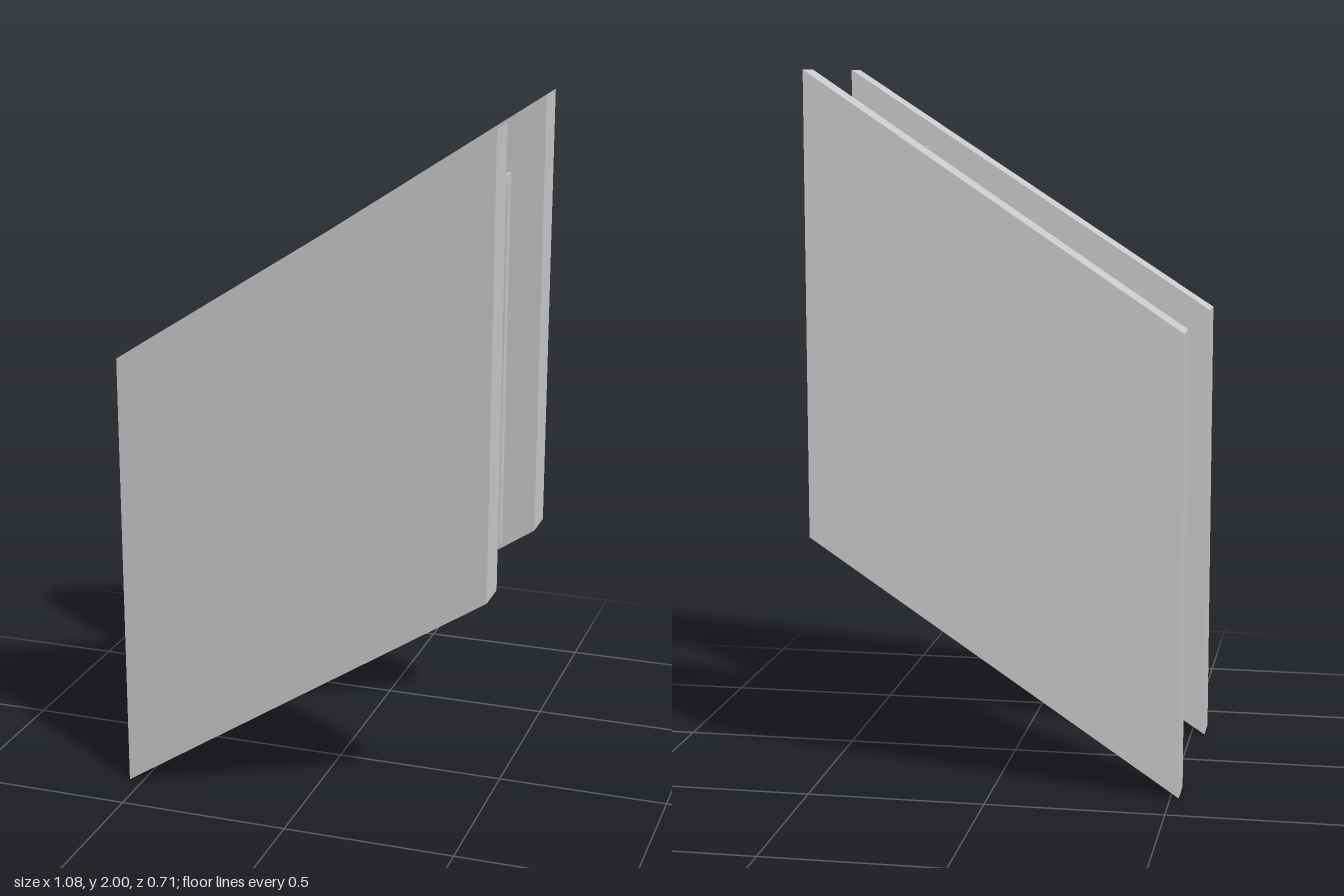
import * as THREE from 'three';

const material = new THREE.MeshStandardMaterial({ color: 0xcccccc, flatShading: true });

function addBox(parent, name, x0, x1, y0, y1, z0, z1) {
  const mesh = new THREE.Mesh(new THREE.BoxGeometry(x1 - x0, y1 - y0, z1 - z0), material);
  mesh.position.set((x0 + x1) / 2, (y0 + y1) / 2, (z0 + z1) / 2);
  mesh.name = name;
  parent.add(mesh);
}

// Slab with upright ends and parallel sloping top and bottom
function addWall(parent, name, halfWidth, z0, z1) {
  const shape = new THREE.Shape([
    new THREE.Vector2(-halfWidth, 0),
    new THREE.Vector2(halfWidth, 0.702),
    new THREE.Vector2(halfWidth, 2),
    new THREE.Vector2(-halfWidth, 1.298),
  ]);
  const geometry = new THREE.ExtrudeGeometry(shape, { depth: z1 - z0, bevelEnabled: false });
  const mesh = new THREE.Mesh(geometry, material);
  mesh.position.z = z0;
  mesh.name = name;
  parent.add(mesh);
}

// Upright channel: thin web facing the passage, two flanges towards the wall
function addPost(parent, name, inner, web, outer) {
  const post = new THREE.Group();
  post.name = name;
  const [y0, y1] = [0.66, 1.745];
  const span = (a, b) => [Math.min(a, b), Math.max(a, b)];
  addBox(post, 'postWeb', 0.314, 0.421, y0, y1, ...span(inner, web));
  addBox(post, 'postFlangeRight', 0.307, 0.314, y0, y1, ...span(inner, outer));
  addBox(post, 'postFlangeLeft', 0.421, 0.428, y0, y1, ...span(inner, outer));
  parent.add(post);
}

export function createModel() {
  const model = new THREE.Group();
  model.name = 'slopingWallsWithFrame';

  // Side walls
  addWall(model, 'frontWall', 0.541, 0.25, 0.356);
  addWall(model, 'backWall', 0.524, -0.358, -0.25);

  // Frame spanning the passage
  const frame = new THREE.Group();
  frame.name = 'frame';
  addPost(frame, 'frontPost', 0.216, 0.225, 0.25);
  addPost(frame, 'backPost', -0.212, -0.221, -0.244);
  addBox(frame, 'crossBarRight', 0.307, 0.314, 1.745, 1.775, -0.248, 0.25);
  addBox(frame, 'crossBarLeft', 0.421, 0.428, 1.745, 1.775, -0.25, 0.25);
  model.add(frame);

  return model;
}
